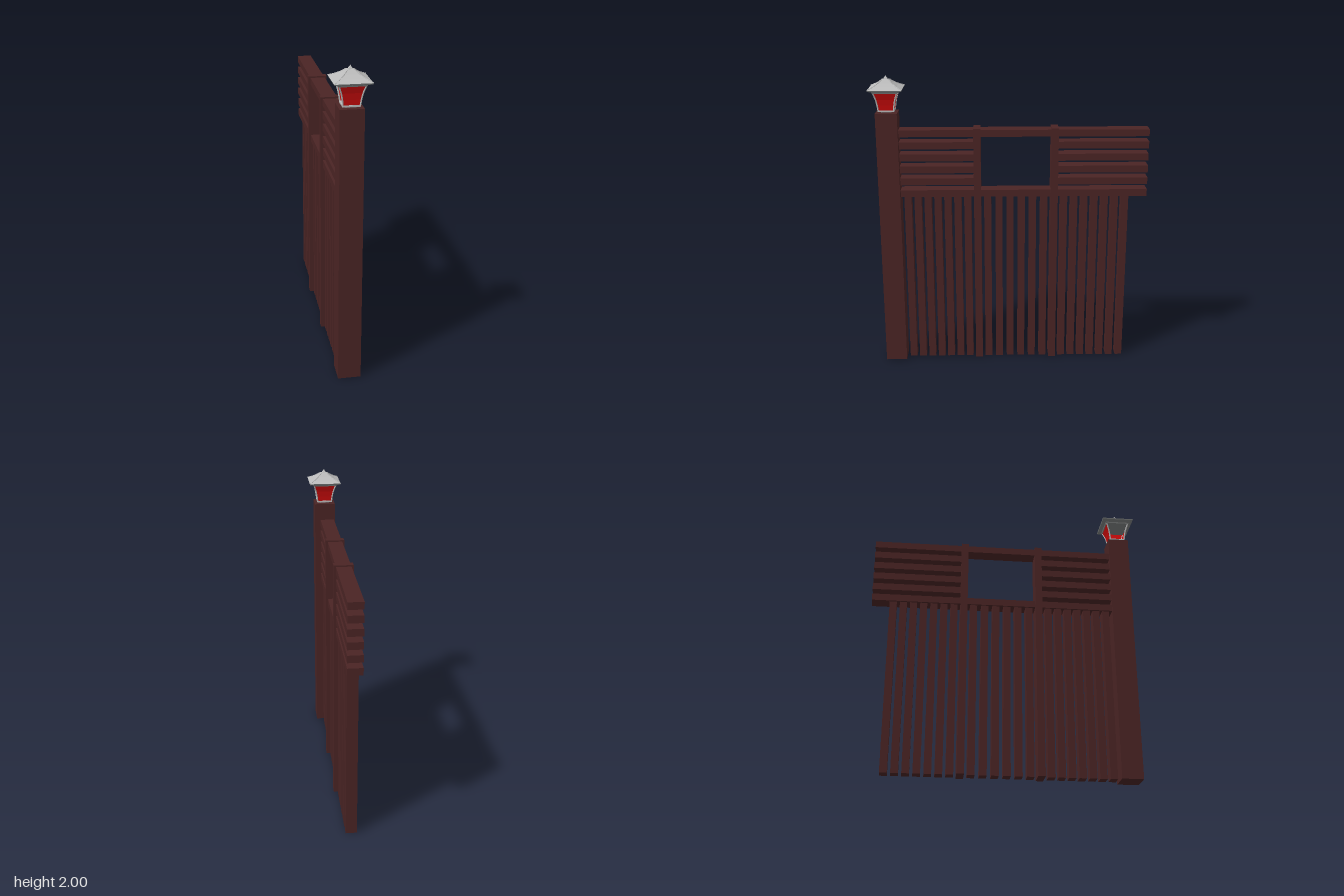
import * as THREE from 'three';

const wood = new THREE.MeshStandardMaterial({ name: 'darkWood', color: 0x4a2424, flatShading: true });
const metal = new THREE.MeshStandardMaterial({ name: 'paleMetal', color: 0xbcbcbc, flatShading: true });
const trim = new THREE.MeshStandardMaterial({ name: 'greyTrim', color: 0x7c7f7f, flatShading: true });
const glass = new THREE.MeshStandardMaterial({ name: 'redGlass', color: 0xcc0a0a, side: THREE.DoubleSide, flatShading: true });

const POST_Z = 0.805;

export function createModel() {
  const model = new THREE.Group();
  model.name = 'fenceWithLantern';

  const add = (parent, name, geometry, material) => {
    const mesh = new THREE.Mesh(geometry, material);
    mesh.name = name;
    parent.add(mesh);
    return mesh;
  };
  // Box given by its limits on each axis
  const bar = (parent, name, x0, x1, y0, y1, z0, z1) => {
    const mesh = add(parent, name, new THREE.BoxGeometry(x1 - x0, y1 - y0, z1 - z0), wood);
    mesh.position.set((x0 + x1) / 2, (y0 + y1) / 2, (z0 + z1) / 2);
  };
  // Square tower from [half width, height] pairs; sides counts from the back-left corner
  const squareLoft = (profile, sides = 4) => {
    const points = profile.map(([h, y]) => new THREE.Vector2(h * Math.SQRT2, y));
    const geometry = new THREE.LatheGeometry(points, sides, -Math.PI / 4, sides * Math.PI / 2).toNonIndexed();
    geometry.computeVertexNormals();
    return geometry;
  };

  // Gate post
  bar(model, 'gatePost', -0.072, 0.072, 0, 1.76, POST_Z - 0.071, POST_Z + 0.071);

  // Fence: rails, short louvres either side of the window, uprights and slats
  const fence = new THREE.Group();
  fence.name = 'fence';
  model.add(fence);
  const END = -0.912;
  const START = 0.735;
  bar(fence, 'topRail', -0.065, 0.032, 1.597, 1.643, END, START);
  bar(fence, 'middleRail', -0.065, 0.032, 1.188, 1.235, END, START);
  for (let i = 1; i <= 4; i++) {
    const y = 1.188 + i * 0.0818;
    bar(fence, 'louvreFront', -0.065, 0.032, y, y + 0.047, 0.222, START);
    bar(fence, 'louvreBack', -0.065, 0.032, y, y + 0.047, END, -0.29);
  }
  for (const z of [0.222, -0.291]) {
    bar(fence, 'upright', -0.079, 0.046, 0, 1.653, z - 0.024, z + 0.024);
  }
  const slatRuns = [[0.689, -0.0667, 7], [0.155, -0.0757, 6], [-0.357, -0.0685, 7]];
  for (const [start, step, count] of slatRuns) {
    for (let i = 0; i < count; i++) {
      const z = start + i * step;
      bar(fence, 'slat', -0.053, 0.02, 0, 1.19, z - 0.024, z + 0.024);
    }
  }

  // Lantern
  const lantern = new THREE.Group();
  lantern.name = 'lantern';
  lantern.position.z = POST_Z;
  model.add(lantern);

  add(lantern, 'lanternFoot', squareLoft([[0, 1.758], [0.033, 1.758], [0.033, 1.77], [0, 1.77]]), trim);
  add(lantern, 'lanternBase', squareLoft([[0, 1.768], [0.053, 1.768], [0.053, 1.779], [0, 1.779]]), metal);

  // Flared red panes on three sides; the remaining side is open
  const flare = [[0.05, 1.778], [0.054, 1.81], [0.062, 1.85], [0.078, 1.898]];
  add(lantern, 'panes', squareLoft(flare, 3), glass);

  // Roof with concave slopes, soffit and finial
  const slope = [[0.11, 1.916], [0.075, 1.933], [0.045, 1.952], [0.022, 1.972]];
  add(lantern, 'upperFrame', squareLoft([[0, 1.892], [0.082, 1.892], [0.085, 1.903], [0, 1.903]]), trim);
  add(lantern, 'soffit', squareLoft([[0, 1.9], [0.085, 1.9], [0.108, 1.909], [0.11, 1.916]]), trim);
  add(lantern, 'roof', squareLoft([...slope, [0, 1.978]]), metal);
  add(lantern, 'finial', squareLoft([[0.015, 1.97], [0.012, 1.978], [0.005, 1.988], [0, 2]]), metal);

  // Corner bars and roof hips
  const cornerTube = (name, profile, radius, sx, sz, material) => {
    const path = new THREE.CatmullRomCurve3(profile.map(([h, y]) => new THREE.Vector3(h * sx, y, h * sz)));
    add(lantern, name, new THREE.TubeGeometry(path, 8, radius, 6), material);
  };
  for (const sx of [-1, 1]) {
    for (const sz of [-1, 1]) {
      cornerTube('cornerBar', flare, 0.005, sx, sz, metal);
      cornerTube('roofHip', slope, 0.003, sx, sz, metal);
    }
  }

  return model;
}
